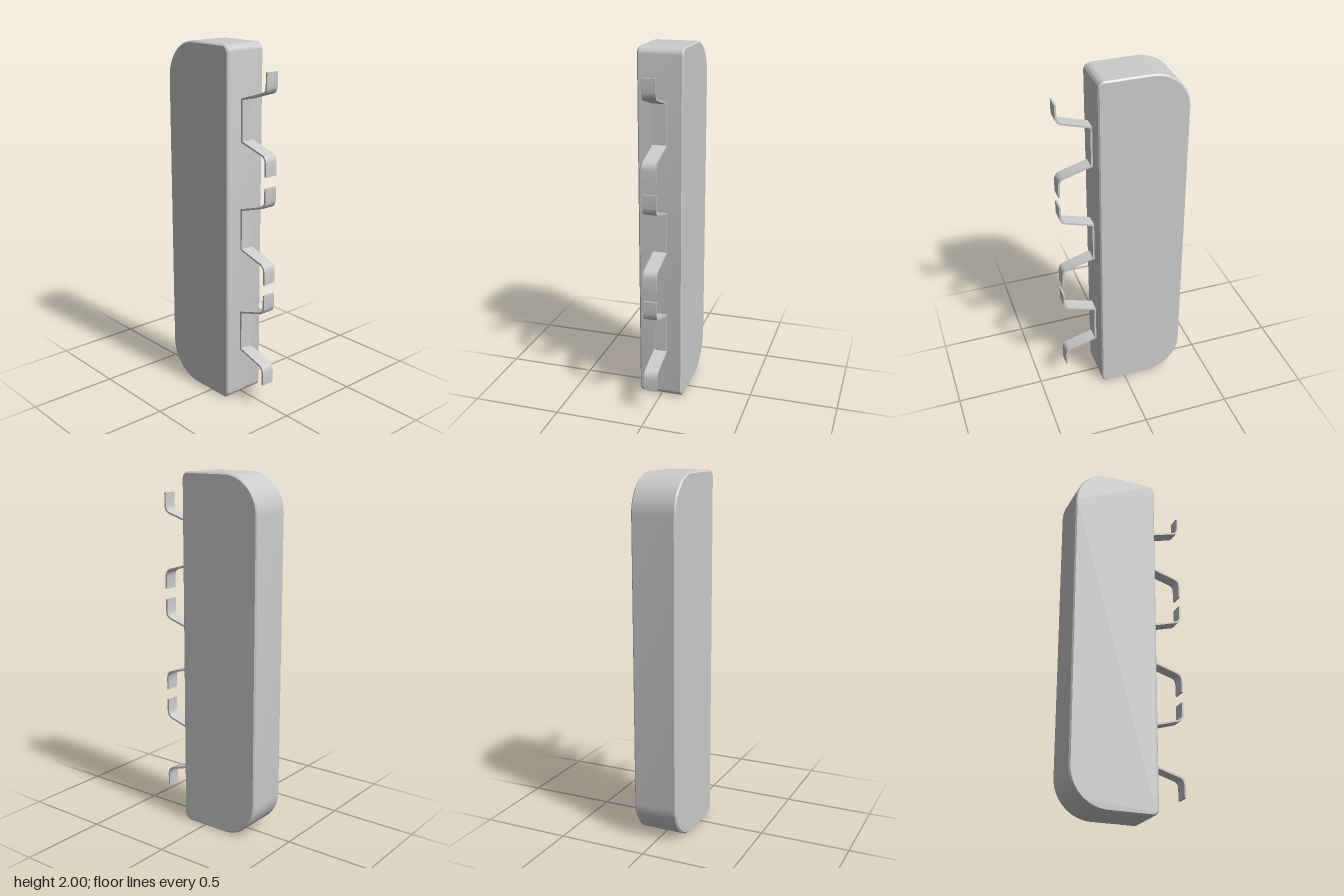
import * as THREE from 'three';
import { toCreasedNormals } from 'three/addons/utils/BufferGeometryUtils.js';

const material = new THREE.MeshStandardMaterial({ color: 0xcccccc });

// Slab outline: large round corners on the right (-x), small ones on the clip side
function bodyGeometry() {
  const x0 = -0.345, x1 = 0.145, R = 0.21, r = 0.04, bevel = 0.008, depth = 0.25;
  const q = Math.PI / 2;
  const shape = new THREE.Shape();
  shape.absarc(x1 - r, r, r, -q, 0);
  shape.absarc(x1 - r, 2 - r, r, 0, q);
  shape.absarc(x0 + R, 2 - R, R, q, 2 * q);
  shape.absarc(x0 + R, R, R, 2 * q, 3 * q);
  shape.closePath();
  const geometry = new THREE.ExtrudeGeometry(shape, {
    depth: depth - 2 * bevel, curveSegments: 6,
    bevelEnabled: true, bevelSegments: 1,
    bevelSize: bevel, bevelOffset: -bevel, bevelThickness: bevel,
  });
  geometry.translate(0, 0, -depth / 2 + bevel);
  return toCreasedNormals(geometry, 0.5);
}

// Bent sheet strip: a centre line thickened with mitred joints, then extruded
function clipGeometry() {
  const half = [[0.157, 0.113], [0.316, 0.16], [0.329, 0.169], [0.336, 0.183], [0.339, 0.2], [0.339, 0.27]];
  const path = [...half.map(([x, y]) => [x, -y]).reverse(), ...half]
    .map(([x, y]) => new THREE.Vector2(x, y));
  const t = 0.005;
  const normal = (a, b) => {
    const d = b.clone().sub(a).normalize();
    return new THREE.Vector2(d.y, -d.x);
  };
  const outer = [], inner = [];
  path.forEach((p, i) => {
    const a = normal(path[Math.max(i - 1, 0)], path[Math.max(i, 1)]);
    const b = normal(path[Math.min(i, path.length - 2)], path[Math.min(i + 1, path.length - 1)]);
    const miter = a.clone().add(b).normalize();
    miter.multiplyScalar(t / miter.dot(a));
    outer.push(p.clone().add(miter));
    inner.unshift(p.clone().sub(miter));
  });
  const geometry = new THREE.ExtrudeGeometry(new THREE.Shape([...outer, ...inner]), {
    depth: 0.076, bevelEnabled: false,
  });
  geometry.translate(0, 0, -0.04);
  return toCreasedNormals(geometry, 0.6);
}

export function createModel() {
  const group = new THREE.Group();
  group.name = 'slabWithSpringClips';

  const body = new THREE.Mesh(bodyGeometry(), material);
  body.name = 'body';
  group.add(body);

  // Three identical spring clips up the left side
  const geometry = clipGeometry();
  ['lowerClip', 'middleClip', 'upperClip'].forEach((name, i) => {
    const clip = new THREE.Mesh(geometry, material);
    clip.name = name;
    clip.position.y = 0.405 + 0.6 * i;
    group.add(clip);
  });
  return group;
}
